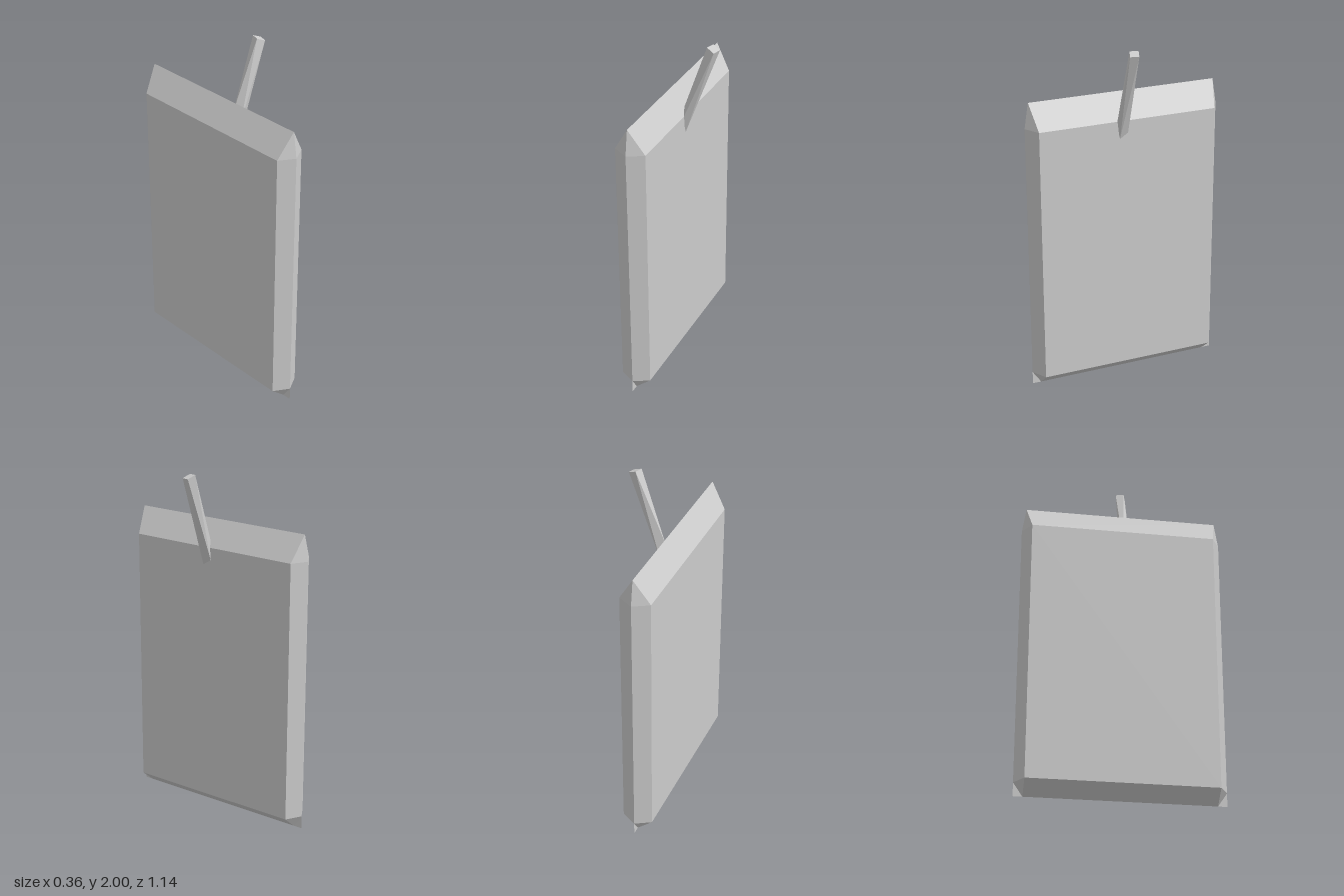
import * as THREE from 'three';
import { ConvexGeometry } from 'three/addons/geometries/ConvexGeometry.js';

const V = (x, y, z) => new THREE.Vector3(x, y, z);

export function createModel() {
  const group = new THREE.Group();
  const grey = new THREE.MeshStandardMaterial({ color: 0xcccccc });
  grey.name = 'lightGrey';
  const greyThin = grey.clone();
  greyThin.side = THREE.DoubleSide;

  const add = (name, geometry, material = grey) => {
    const mesh = new THREE.Mesh(geometry, material);
    mesh.name = name;
    group.add(mesh);
  };

  // Upright slab with bevelled rim: flat faces, pointed side edges, top and bottom ridges
  const mid = -0.092, half = 0.088, low = 0.075, high = 1.57;
  const points = [];
  for (const s of [1, -1]) {
    for (const y of [low, high]) {
      points.push(V(mid - half, y, 0.52 * s), V(mid + half, y, 0.52 * s), V(mid, y, 0.571 * s));
    }
    points.push(V(mid, 1.715, 0.548 * s), V(mid, 0, 0.52 * s));
  }
  add('slab', new ConvexGeometry(points));

  // Thin fins that fill the lower corners below the side edges
  for (const s of [1, -1]) {
    const fin = new THREE.BufferGeometry().setFromPoints([
      V(mid, low, 0.571 * s), V(mid, 0, 0.571 * s), V(mid, 0, 0.52 * s),
    ]);
    fin.computeVertexNormals();
    add(s > 0 ? 'frontCornerFin' : 'backCornerFin', fin, greyThin);
  }

  // Slanted four-sided stick, tapering into the upper face of the slab
  add('stick', new ConvexGeometry([
    V(0.135, 2.0, 0.005), V(0.18, 1.982, 0.02), V(0.165, 1.98, 0.066), V(0.12, 1.998, 0.051),
    V(-0.003, 1.5, 0.006), V(0, 1.47, 0.055), V(-0.013, 1.55, 0.068), V(-0.025, 1.6, 0.022),
  ]));

  return group;
}
